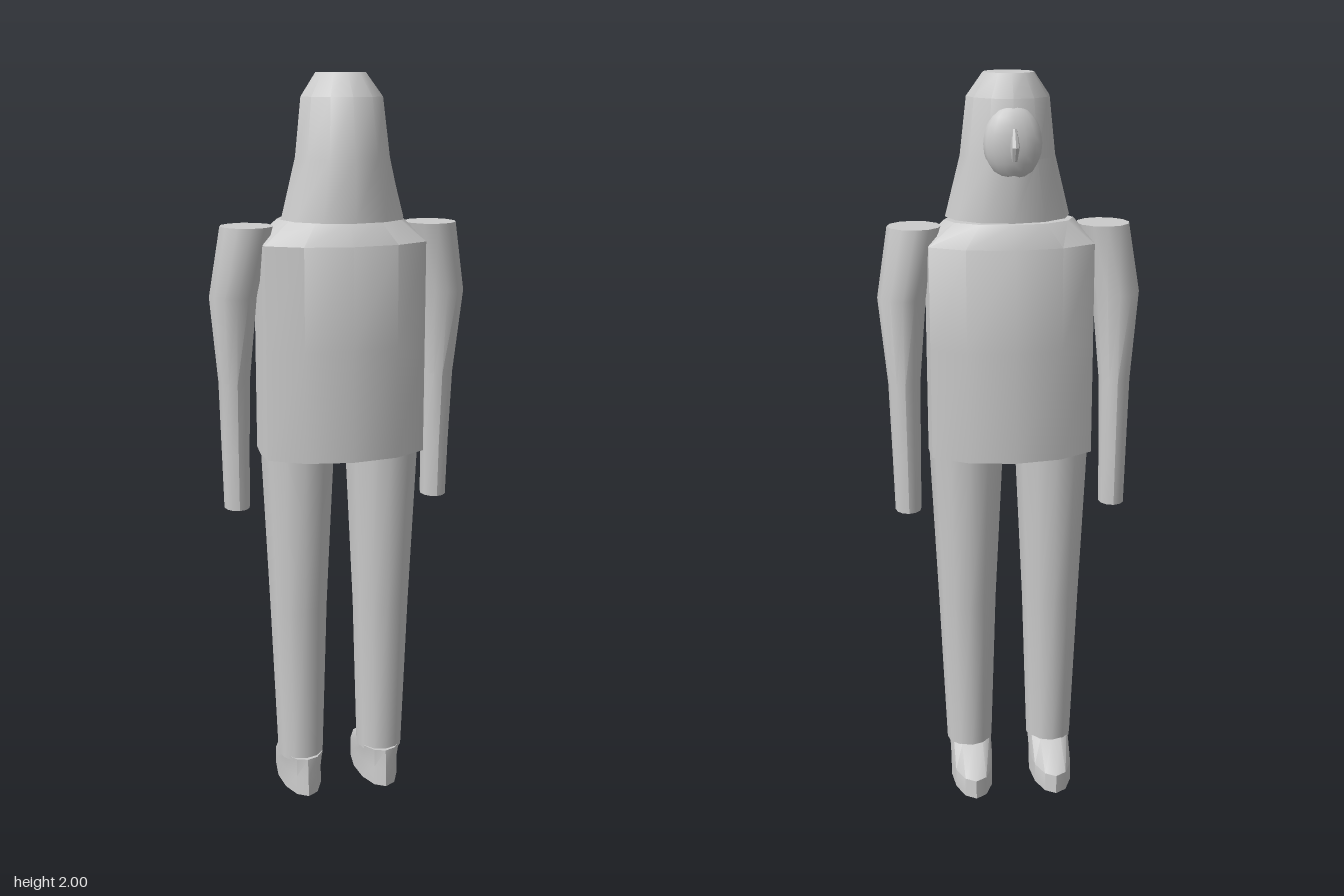
import * as THREE from 'three';
import { toCreasedNormals } from 'three/addons/utils/BufferGeometryUtils.js';

// Capped loft through rings [y, xMin, xMax, zMin, zMax], bottom to top; xLimit flattens the sides.
function loft(rings, sides = 12, xLimit = Infinity) {
  const pos = [], index = [];
  const centre = ([y, x0, x1, z0, z1]) => [(x0 + x1) / 2, y, (z0 + z1) / 2];
  for (const r of rings) {
    const [cx, y, cz] = centre(r);
    for (let i = 0; i < sides; i++) {
      const a = (i / sides) * Math.PI * 2;
      const x = cx + Math.sin(a) * (r[2] - r[1]) / 2;
      pos.push(THREE.MathUtils.clamp(x, -xLimit, xLimit), y, cz + Math.cos(a) * (r[4] - r[3]) / 2);
    }
  }
  const top = (rings.length - 1) * sides, bottomCentre = rings.length * sides;
  pos.push(...centre(rings[0]), ...centre(rings[rings.length - 1]));
  for (let i = 0; i < sides; i++) {
    const j = (i + 1) % sides;
    for (let k = 0; k < top; k += sides) {
      index.push(k + i, k + j, k + sides + j, k + i, k + sides + j, k + sides + i);
    }
    index.push(bottomCentre, j, i, bottomCentre + 1, top + i, top + j);
  }
  const g = new THREE.BufferGeometry();
  g.setAttribute('position', new THREE.Float32BufferAttribute(pos, 3));
  g.setIndex(index);
  return toCreasedNormals(g, 0.62);
}

export function createModel() {
  const group = new THREE.Group();
  const grey = new THREE.MeshStandardMaterial({ color: 0xcccccc });
  grey.name = 'light grey';
  const add = (name, geometry) => {
    const mesh = new THREE.Mesh(geometry, grey);
    mesh.name = name;
    group.add(mesh);
    return mesh;
  };

  // Torso with sloping shoulders
  add('torso', loft([
    [1.0, -0.25, 0.25, -0.145, 0.158],
    [1.3, -0.25, 0.25, -0.145, 0.158],
    [1.57, -0.25, 0.25, -0.14, 0.155],
    [1.63, -0.17, 0.17, -0.11, 0.115],
  ], 12, 0.222));

  // Long hair flaring toward the shoulders
  add('hair', loft([
    [1.632, -0.165, 0.165, -0.1, 0.18],
    [1.79, -0.125, 0.125, -0.105, 0.173],
    [1.94, -0.108, 0.108, -0.093, 0.147],
    [2.0, -0.066, 0.066, -0.06, 0.09],
  ]));

  // Face bulging out of the hair, and nose
  const face = add('face', new THREE.SphereGeometry(1, 16, 12));
  face.scale.set(0.075, 0.095, 0.045);
  face.position.set(0, 1.83, -0.078);
  add('nose', loft([
    [1.79, -0.008, 0.008, -0.125, -0.1],
    [1.825, -0.012, 0.012, -0.147, -0.1],
    [1.87, -0.007, 0.007, -0.122, -0.1],
  ], 8));

  // Limbs, mirrored
  for (const [side, s] of [['left', 1], ['right', -1]]) {
    const mirror = (rings) => rings.map(([y, a, b, z0, z1]) =>
      s > 0 ? [y, a, b, z0, z1] : [y, -b, -a, z0, z1]);
    add(side + 'Arm', loft(mirror([
      [0.842, 0.247, 0.318, -0.073, 0.013],
      [1.0, 0.245, 0.322, -0.075, 0.018],
      [1.2, 0.242, 0.328, -0.076, 0.032],
      [1.43, 0.222, 0.35, -0.075, 0.06],
      [1.615, 0.178, 0.32, -0.073, 0.08],
    ])));
    add(side + 'Leg', loft(mirror([
      [0.1, 0.052, 0.182, -0.07, 0.085],
      [0.55, 0.038, 0.2, -0.072, 0.088],
      [1.01, 0.016, 0.22, -0.107, 0.117],
    ])));
    add(side + 'Foot', loft(mirror([
      [0, 0.055, 0.175, -0.18, 0.105],
      [0.055, 0.055, 0.175, -0.178, 0.102],
      [0.11, 0.055, 0.175, -0.075, 0.096],
    ])));
  }
  return group;
}
